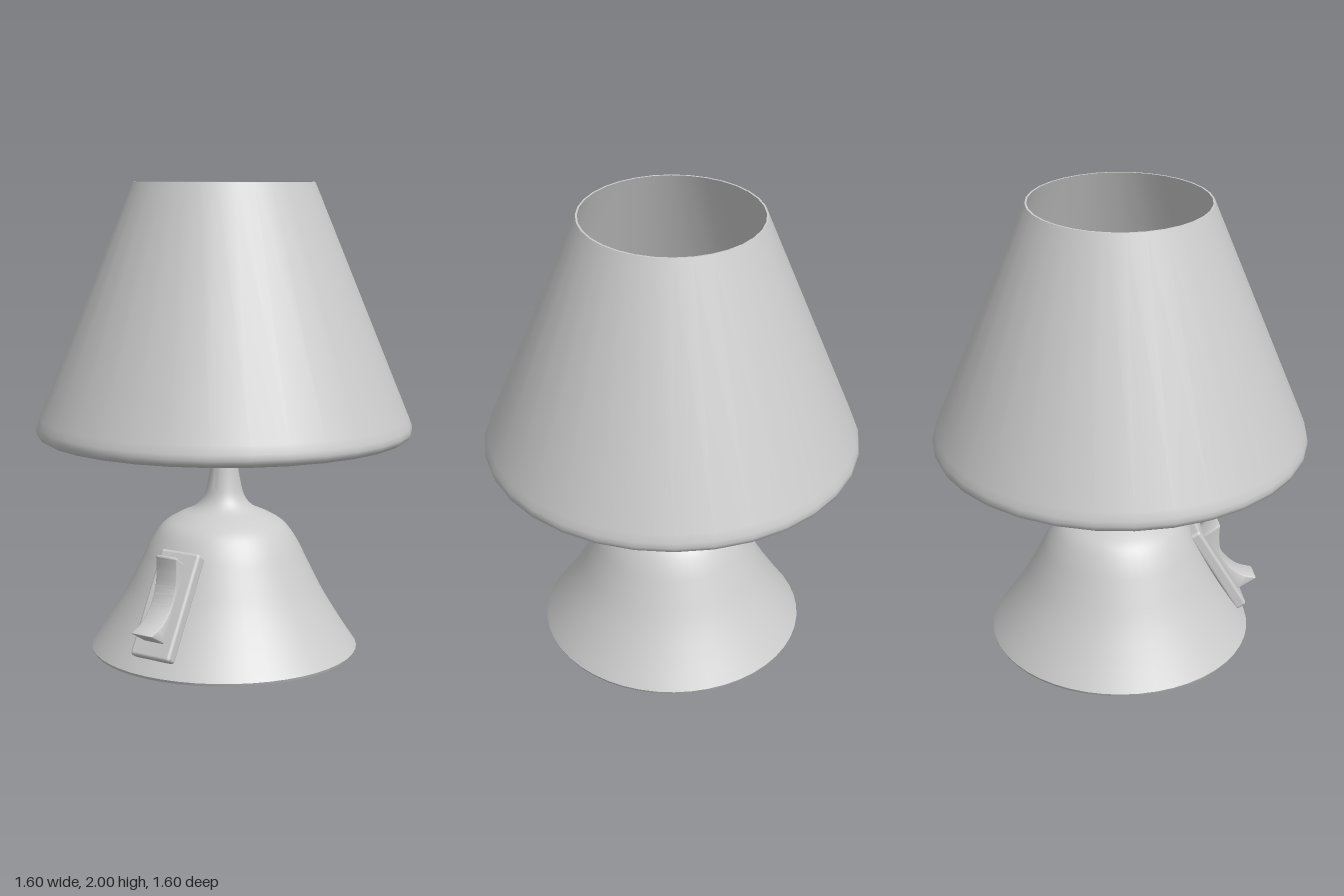
import * as THREE from 'three';
import { toCreasedNormals } from 'three/addons/utils/BufferGeometryUtils.js';
import { RoundedBoxGeometry } from 'three/addons/geometries/RoundedBoxGeometry.js';

const material = new THREE.MeshStandardMaterial({ color: 0xcccccc, side: THREE.DoubleSide });
const vectors = (pairs) => pairs.map(([a, b]) => new THREE.Vector2(a, b));

function addMesh(parent, name, geometry) {
  const mesh = new THREE.Mesh(geometry, material);
  mesh.name = name;
  parent.add(mesh);
  return mesh;
}

export function createModel() {
  const lamp = new THREE.Group();
  lamp.name = 'tableLamp';

  // Bell-shaped base flowing into a tapering stem
  const bell = new THREE.SplineCurve(vectors([
    [0.575, 0.012], [0.5, 0.125], [0.425, 0.25], [0.36, 0.38], [0.315, 0.47], [0.265, 0.54],
    [0.2, 0.582], [0.13, 0.615], [0.09, 0.66], [0.07, 0.73], [0.055, 0.83], [0.045, 0.93], [0.03, 1.105],
  ])).getPoints(48);
  const baseProfile = [...vectors([[0, 0], [0.57, 0]]), ...bell, ...vectors([[0.025, 1.112], [0, 1.112]])];
  addMesh(lamp, 'baseAndStem', toCreasedNormals(new THREE.LatheGeometry(baseProfile, 48), 0.7));

  // Thin conical shade, open at both ends, with a rounded lip turned inward
  const shadeProfile = vectors([
    [0.373, 2], [0.77, 0.995], [0.78, 0.965], [0.765, 0.948], [0.665, 0.942],
    [0.665, 0.932], [0.74, 0.927], [0.775, 0.931], [0.793, 0.943], [0.8, 0.962], [0.797, 0.983], [0.785, 1.015],
    [0.381, 2], [0.373, 2],
  ]);
  const shade = new THREE.LatheGeometry(shadeProfile, 32, THREE.MathUtils.degToRad(-4));
  addMesh(lamp, 'shade', toCreasedNormals(shade, 0.75));

  // Switch plate lying on the sloping front of the base
  const lightSwitch = new THREE.Group();
  lightSwitch.name = 'switch';
  lightSwitch.position.x = 0.01;
  lamp.add(lightSwitch);
  const plate = addMesh(lightSwitch, 'switchPlate', new RoundedBoxGeometry(0.195, 0.46, 0.055, 3, 0.014));
  plate.position.set(0, 0.277, 0.432);
  plate.rotation.x = -0.515;

  // Concave rocker: side profile in (z, y), extruded across x
  const profile = new THREE.Shape();
  profile.moveTo(0.37, 0.437);
  profile.lineTo(0.432, 0.486);
  profile.quadraticCurveTo(0.45, 0.492, 0.444, 0.47);
  profile.splineThru(vectors([[0.443, 0.42], [0.452, 0.355], [0.485, 0.285], [0.545, 0.228], [0.61, 0.204]]));
  profile.quadraticCurveTo(0.625, 0.198, 0.61, 0.192);
  profile.lineTo(0.525, 0.142);
  profile.closePath();
  const rocker = new THREE.ExtrudeGeometry(profile, {
    depth: 0.084, curveSegments: 10, bevelThickness: 0.01, bevelSize: 0.006, bevelOffset: -0.006, bevelSegments: 3,
  });
  rocker.translate(0, 0, -0.042).rotateY(-Math.PI / 2);
  addMesh(lightSwitch, 'switchRocker', toCreasedNormals(rocker, 0.7));

  return lamp;
}
